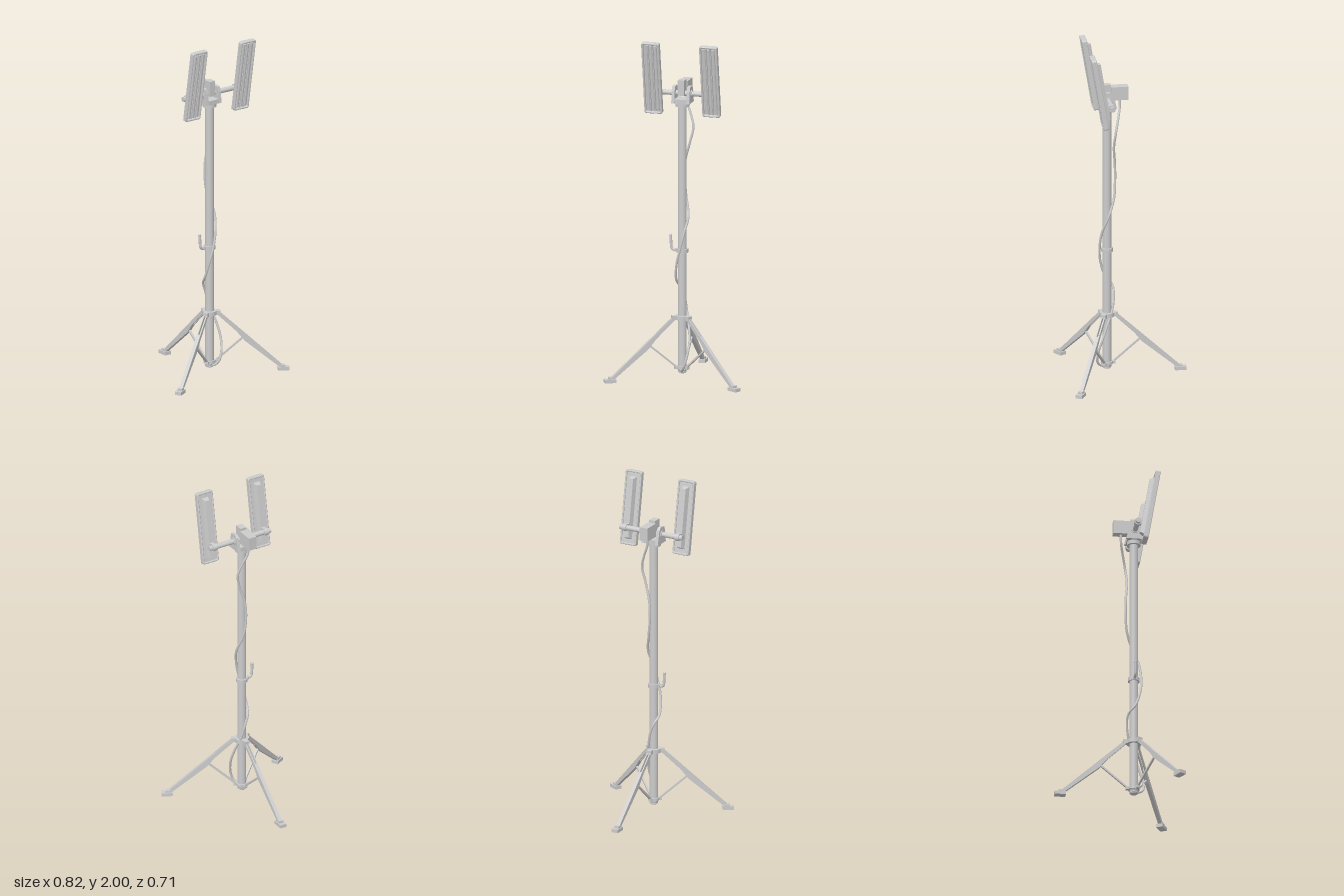
import * as THREE from 'three';

const material = new THREE.MeshStandardMaterial({ color: 0xcccccc });
const POLE_Z = 0.105;

function add(parent, name, geometry, x = 0, y = 0, z = 0) {
  const mesh = new THREE.Mesh(geometry, material);
  mesh.name = name;
  mesh.position.set(x, y, z);
  parent.add(mesh);
  return mesh;
}

const box = (w, h, d) => new THREE.BoxGeometry(w, h, d);
const cyl = (r, h, sides = 24, r2 = r) => new THREE.CylinderGeometry(r, r2, h, sides);
const polygon = (pts) => new THREE.Shape(pts.map(([x, y]) => new THREE.Vector2(x, y)));

// Extrusion centred on its own depth
function slab(shape, depth, bevel = 0) {
  const g = new THREE.ExtrudeGeometry(shape, {
    depth: depth - 2 * bevel, bevelEnabled: bevel > 0, bevelSize: bevel,
    bevelThickness: bevel, bevelOffset: -bevel, bevelSegments: 1, curveSegments: 6,
  });
  return g.translate(0, 0, -(depth - 2 * bevel) / 2);
}

function roundRect(w, h, r, target = new THREE.Shape()) {
  const x = w / 2, y = h / 2;
  target.moveTo(-x + r, -y);
  target.lineTo(x - r, -y).quadraticCurveTo(x, -y, x, -y + r);
  target.lineTo(x, y - r).quadraticCurveTo(x, y, x - r, y);
  target.lineTo(-x + r, y).quadraticCurveTo(-x, y, -x, y - r);
  target.lineTo(-x, -y + r).quadraticCurveTo(-x, -y, -x + r, -y);
  return target;
}

function tube(points, radius, segments, sides = 8) {
  const curve = new THREE.CatmullRomCurve3(points.map((p) => new THREE.Vector3(...p)));
  return new THREE.TubeGeometry(curve, segments, radius, sides);
}

// One leg running along local +x from the pole axis
function makeLeg(angle) {
  const leg = new THREE.Group();
  leg.name = 'tripodLeg';
  leg.position.z = POLE_Z;
  leg.rotation.y = angle;
  add(leg, 'legBeam', slab(polygon([
    [0.155, 0.275], [0.155, 0.245], [0.2, 0.188], [0.41, 0.015], [0.437, 0.015],
  ]), 0.022));
  for (const s of [-1, 1]) {
    add(leg, 'legForkRail', slab(polygon([
      [0.045, 0.372], [0.045, 0.35], [0.165, 0.235], [0.165, 0.266], [0.062, 0.36], [0.058, 0.372],
    ]), 0.006), 0, 0, s * 0.008);
  }
  add(leg, 'hubLug', box(0.035, 0.024, 0.03), 0.045, 0.362, 0);
  add(leg, 'foot', box(0.065, 0.02, 0.04), 0.428, 0.01, 0);
  add(leg, 'footSocket', box(0.035, 0.014, 0.028), 0.42, 0.025, 0);
  // Diagonal brace from the lower collar up to the beam
  const brace = add(leg, 'brace', box(0.21, 0.01, 0.012), 0.113, 0.137, 0);
  brace.rotation.z = Math.atan2(0.135, 0.16);
  add(leg, 'braceLug', box(0.025, 0.016, 0.02), 0.035, 0.068, 0);
  return leg;
}

// Tilted lamp with framed front, tubes and a tapered rear housing
function makeLamp(x) {
  const lamp = new THREE.Group();
  lamp.name = 'lamp';
  const panel = new THREE.Group();
  panel.name = 'lampPanel';
  panel.position.set(x, 1.7825, 0.182);
  panel.rotation.x = 0.168;
  lamp.add(panel);
  const frame = roundRect(0.106, 0.436, 0.012);
  frame.holes.push(roundRect(0.086, 0.414, 0.007, new THREE.Path()));
  add(panel, 'lampFrame', slab(frame, 0.03, 0.003));
  add(panel, 'lampBackPlate', box(0.09, 0.418, 0.01), 0, 0, -0.003);
  for (const i of [-1, 0, 1]) {
    add(panel, 'lightTube', cyl(0.01, 0.4, 12), i * 0.027, 0, 0.003);
  }
  for (const i of [-0.5, 0.5]) {
    add(panel, 'tubeDivider', box(0.004, 0.412, 0.012), i * 0.027, 0, 0.006);
  }
  // Rear housing narrows away from the panel
  const housing = box(0.046, 0.37, 0.034);
  const p = housing.attributes.position;
  for (let i = 0; i < p.count; i++) {
    if (p.getZ(i) < 0) p.setXY(i, p.getX(i) * 0.55, p.getY(i) * 0.93);
  }
  housing.computeVertexNormals();
  add(panel, 'rearHousing', housing, 0, 0, -0.02);
  // Clamp on the crossbar
  const ring = add(lamp, 'lampClamp', cyl(0.021, 0.026, 20), x, 1.685, POLE_Z);
  ring.rotation.z = Math.PI / 2;
  add(lamp, 'clampArm', box(0.026, 0.032, 0.05), x, 1.687, 0.13);
  return lamp;
}

function makeHead() {
  const head = new THREE.Group();
  head.name = 'mountingHead';
  add(head, 'headCollar', cyl(0.04, 0.022), 0, 1.619, POLE_Z);
  add(head, 'yokeBase', box(0.108, 0.025, 0.085), 0, 1.642, POLE_Z);
  const cheek = polygon([[-0.05, 1.63], [0.045, 1.63], [0.035, 1.7], [0.028, 1.725],
    [-0.012, 1.73], [-0.03, 1.715]]);
  for (const s of [-1, 1]) {
    const plate = add(head, 'yokeCheek', slab(cheek, 0.018), s * 0.045, 0, POLE_Z);
    plate.rotation.y = -Math.PI / 2;
    const boss = add(head, 'pivotBoss', cyl(0.022, 0.01, 20), s * 0.055, 1.685, POLE_Z);
    boss.rotation.z = Math.PI / 2;
  }
  const bar = add(head, 'crossbar', cyl(0.015, 0.41, 20), 0.015, 1.685, POLE_Z);
  bar.rotation.z = Math.PI / 2;
  add(head, 'pivotBlock', box(0.038, 0.09, 0.05), 0, 1.72, 0.11);
  add(head, 'controlBox', box(0.05, 0.08, 0.1), 0, 1.711, 0.034);
  return head;
}

export function createModel() {
  const model = new THREE.Group();
  model.name = 'tripodWorkLight';

  // Mast and its collars
  add(model, 'mast', cyl(0.025, 1.57), 0, 0.825, POLE_Z);
  add(model, 'mastFoot', cyl(0.028, 0.022, 24, 0.02), 0, 0.046, POLE_Z);
  add(model, 'legHub', cyl(0.042, 0.024), 0, 0.362, POLE_Z);
  add(model, 'braceCollar', cyl(0.034, 0.016), 0, 0.068, POLE_Z);
  add(model, 'clampCollar', cyl(0.034, 0.022), 0, 0.757, POLE_Z);

  // Tightening handle on the collar
  const handle = new THREE.Group();
  handle.name = 'clampHandle';
  model.add(handle);
  add(handle, 'handleRod', tube([[-0.025, 0.757, POLE_Z], [-0.05, 0.757, POLE_Z],
    [-0.063, 0.766, POLE_Z], [-0.067, 0.79, POLE_Z], [-0.07, 0.84, POLE_Z]], 0.008, 20));
  add(handle, 'handleTip', new THREE.SphereGeometry(0.009, 12, 8), -0.07, 0.841, POLE_Z);
  add(handle, 'handleLug', box(0.02, 0.018, 0.02), -0.034, 0.757, POLE_Z);

  for (const a of [90, -30, 210]) model.add(makeLeg(THREE.MathUtils.degToRad(a)));
  model.add(makeHead(), makeLamp(-0.158), makeLamp(0.188));

  // Power cable winding around the mast
  add(model, 'cable', tube([
    [0, 1.69, 0.03], [0.005, 1.62, 0.032], [0.03, 1.56, 0.045], [0.053, 1.48, 0.062],
    [0.035, 1.39, 0.07], [0.005, 1.28, 0.06], [0, 1.18, 0.058], [0.012, 1.07, 0.066],
    [0.036, 0.96, 0.103], [0.02, 0.87, 0.136], [0, 0.78, 0.147], [-0.025, 0.68, 0.14],
    [-0.035, 0.58, 0.108], [-0.02, 0.535, 0.072], [0, 0.48, 0.065], [0.02, 0.39, 0.078],
    [0.042, 0.3, 0.112], [0.052, 0.22, 0.14], [0.04, 0.13, 0.165], [0.022, 0.075, 0.162],
    [0.005, 0.05, 0.135], [0, 0.045, 0.105],
  ], 0.007, 160));
  return model;
}
